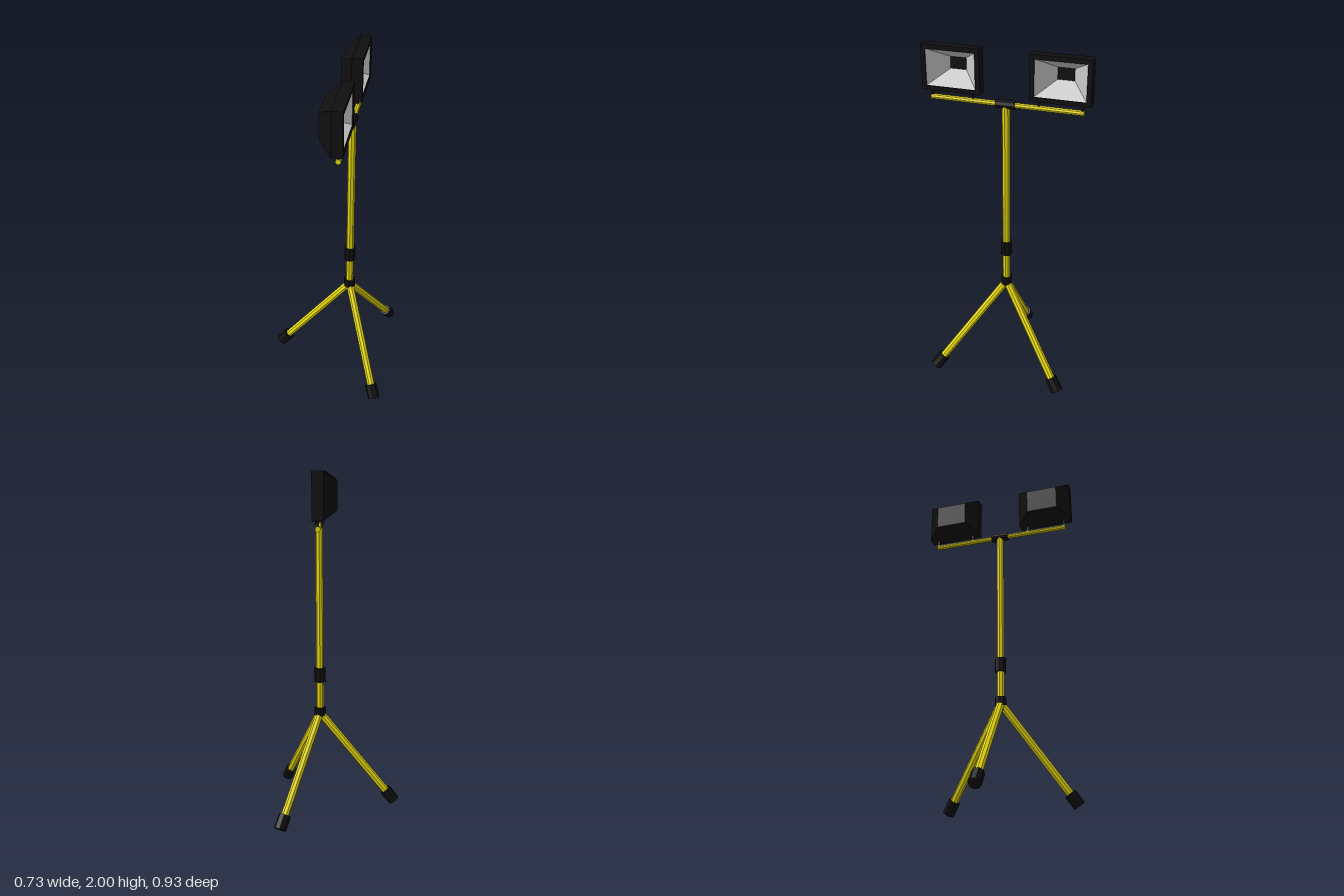
import * as THREE from 'three';

const mat = (color) => new THREE.MeshStandardMaterial({ color, flatShading: true });
const yellow = mat(0xe6d70c);
const black = mat(0x0f0f0f);
const grey = mat(0xcccccc);

const MAST_X = 0.11;
const BAR_Y = 1.708;

function add(parent, name, geometry, material) {
  const mesh = new THREE.Mesh(geometry, material);
  mesh.name = name;
  parent.add(mesh);
  return mesh;
}

// Eight-sided rod between two points; turn rotates its facets about its axis
function rod(parent, name, from, to, radius, material, turn = 0, endRadius = radius) {
  const dir = to.clone().sub(from);
  const geometry = new THREE.CylinderGeometry(endRadius, radius, dir.length(), 8);
  geometry.rotateY(turn);
  const mesh = add(parent, name, geometry, material);
  mesh.position.copy(from).addScaledVector(dir, 0.5);
  mesh.quaternion.setFromUnitVectors(new THREE.Vector3(0, 1, 0), dir.normalize());
  return mesh;
}

// Skin of rectangular sections [x, half height, half width] along x
function rectLoft(sections) {
  const corners = [[-1, -1], [1, -1], [1, 1], [-1, 1]];
  const rings = sections.map(([x, h, w]) => corners.map(([y, z]) => [x, y * h, z * w]));
  const points = [];
  for (let i = 0; i < rings.length - 1; i++) {
    for (let j = 0; j < 4; j++) {
      const k = (j + 1) % 4;
      const [a, b, c, d] = [rings[i][j], rings[i][k], rings[i + 1][k], rings[i + 1][j]];
      points.push(...a, ...b, ...c, ...a, ...c, ...d);
    }
  }
  const geometry = new THREE.BufferGeometry();
  geometry.setAttribute('position', new THREE.Float32BufferAttribute(points, 3));
  geometry.computeVertexNormals();
  return geometry;
}

// Floodlight facing +x, with a deep funnel reflector
function floodlight() {
  const lamp = new THREE.Group();
  lamp.name = 'floodlight';
  add(lamp, 'housing', rectLoft([
    [0.01, 0, 0], [0.01, 0.074, 0.094], [0.08, 0.124, 0.164],
    [0.14, 0.124, 0.164], [0.14, 0.1, 0.139], [0.134, 0.1, 0.139],
  ]), black);
  add(lamp, 'reflector', rectLoft([[0.134, 0.1, 0.139], [0.018, 0.033, 0.046]]), grey);
  add(lamp, 'lampPlate', rectLoft([[0.018, 0.033, 0.046], [0.018, 0, 0]]), black);
  for (const side of [-1, 1]) {
    const post = add(lamp, 'bracketPost', new THREE.BoxGeometry(0.012, 0.06, 0.012), black);
    post.position.set(MAST_X, -0.146, side * 0.117);
  }
  return lamp;
}

export function createModel() {
  const model = new THREE.Group();
  model.name = 'tripodWorkLight';
  const at = (y, z = 0) => new THREE.Vector3(MAST_X, y, z);

  // Mast and collars
  rod(model, 'mast', at(0.58), at(BAR_Y), 0.022, yellow);
  rod(model, 'heightClamp', at(0.783), at(0.868), 0.034, black, Math.PI / 2);
  rod(model, 'legCollar', at(0.575), at(0.625), 0.034, black, Math.PI / 2);
  rod(model, 'legHub', at(0.545), at(0.575), 0.018, black, 0, 0.03);

  // Crossbar and tee joint
  rod(model, 'crossbar', at(BAR_Y, -0.425), at(BAR_Y, 0.425), 0.015, yellow);
  rod(model, 'teeJoint', at(BAR_Y, -0.053), at(BAR_Y, 0.053), 0.025, black);

  // Three splayed legs with rubber feet
  for (let i = 0; i < 3; i++) {
    const leg = new THREE.Group();
    leg.name = 'leg';
    const top = new THREE.Vector3(0, 0.59, 0);
    const end = new THREE.Vector3(-0.449, 0.024, 0);
    const axis = top.clone().sub(end).normalize();
    rod(leg, 'legTube', end.clone().addScaledVector(axis, 0.02), top, 0.023, yellow);
    rod(leg, 'foot', end, end.clone().addScaledVector(axis, 0.085), 0.036, black, Math.PI / 8);
    leg.position.x = MAST_X;
    leg.rotation.y = (i * Math.PI * 2) / 3;
    model.add(leg);
  }

  // Pair of floodlights on the crossbar
  for (const side of [-1, 1]) {
    const lamp = floodlight();
    lamp.position.set(0, 1.876, side * 0.3);
    model.add(lamp);
  }
  return model;
}
